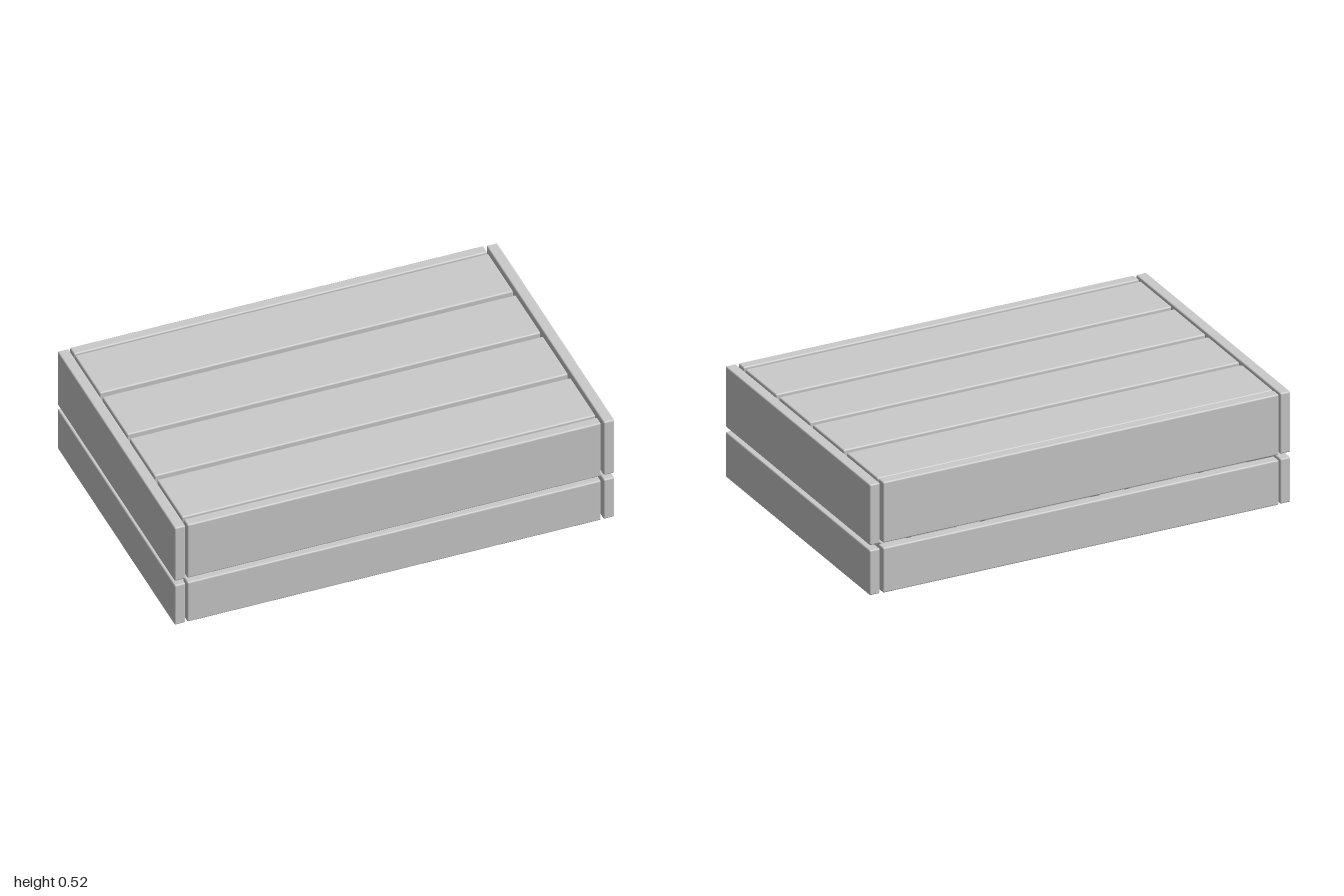
import * as THREE from 'three';
import { RoundedBoxGeometry } from 'three/addons/geometries/RoundedBoxGeometry.js';

const material = new THREE.MeshStandardMaterial({ color: 0xcccccc });

// Board with softly eased edges, given by its extents on each axis
function board(name, [x0, x1], [y0, y1], [z0, z1]) {
  const geometry = new RoundedBoxGeometry(x1 - x0, y1 - y0, z1 - z0, 2, 0.007);
  const mesh = new THREE.Mesh(geometry, material);
  mesh.name = name;
  mesh.position.set((x0 + x1) / 2, (y0 + y1) / 2, (z0 + z1) / 2);
  return mesh;
}

export function createModel() {
  const crate = new THREE.Group();
  crate.name = 'crate';
  const add = (...args) => crate.add(board(...args));

  const long = [-0.942, 0.938];
  const rows = [['lower', 0, 0.21], ['upper', 0.233, 0.516]];

  // Wall boards: a narrow lower row and a wide upper row
  for (const [row, y0, y1] of rows) {
    add(row + 'FrontBoard', long, [y0, y1], [0.612, 0.66]);
    add(row + 'BackBoard', long, [y0, y1], [-0.664, -0.616]);
    add(row + 'LeftEndBoard', [0.95, 1], [y0, y1], [-0.66, 0.66]);
    add(row + 'RightEndBoard', [-1, -0.95], [y0, y1], [-0.66, 0.66]);
  }

  // Four slats each for the floor and the top
  for (let i = 0; i < 4; i++) {
    const z0 = -0.61 + i * 0.3085;
    add('floorSlat', long, [0.002, 0.05], [z0, z0 + 0.283]);
    add('topSlat', long, [0.466, 0.514], [z0, z0 + 0.283]);
  }

  // Inner battens: upright at front and back, flat under the top and on the floor
  const width = 0.212;
  for (const x of [-0.817, -0.467, 0.216, 0.569]) {
    const a = [x, x + width];
    const b = [x + 0.035, x + 0.035 + width];
    add('backBatten', a, [0.055, 0.462], [-0.612, -0.564]);
    add('frontBatten', b, [0.055, 0.462], [0.562, 0.61]);
    add('topBatten', a, [0.418, 0.464], [-0.56, 0.56]);
    add('floorBatten', b, [0.052, 0.098], [-0.56, 0.56]);
  }

  return crate;
}
